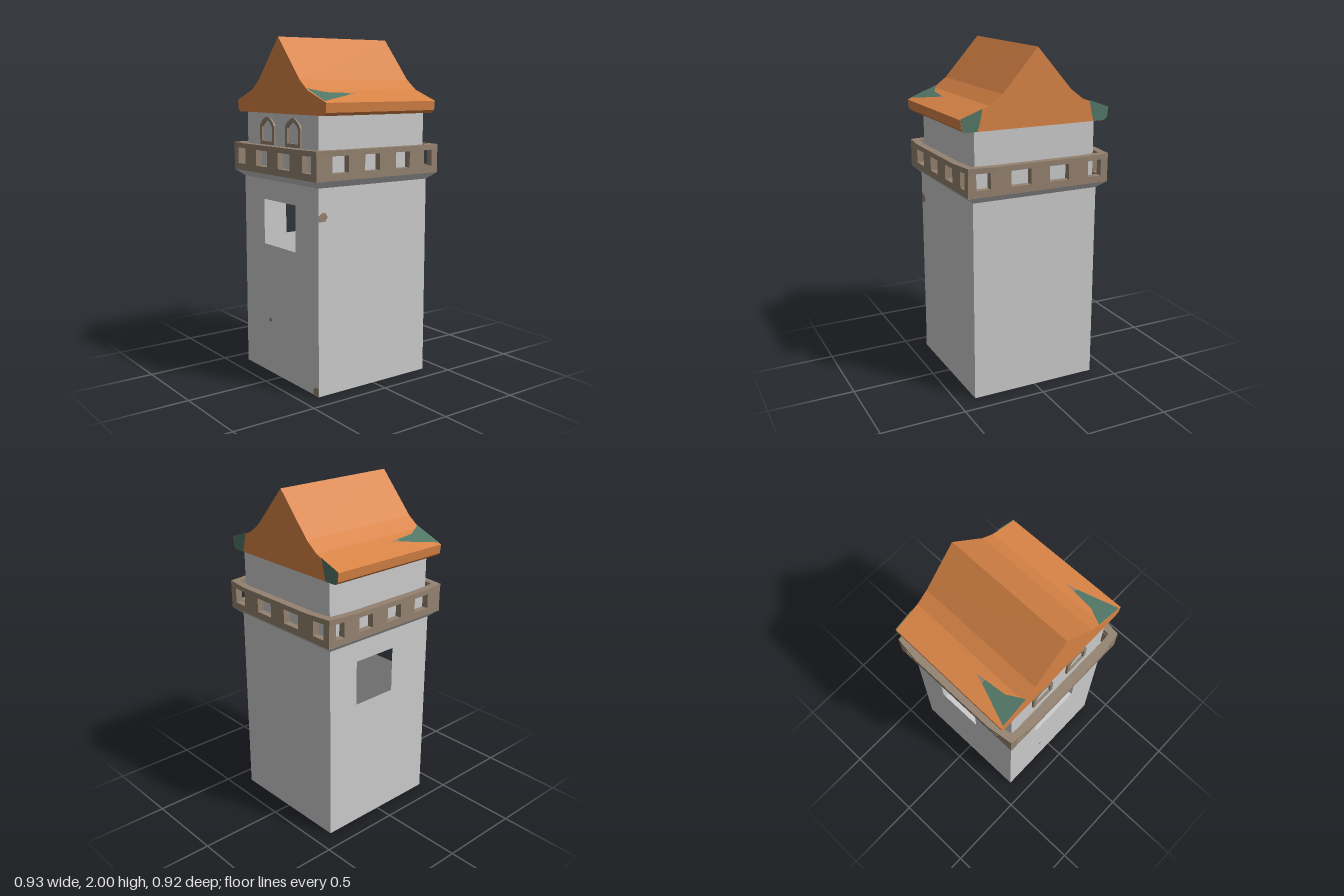
import * as THREE from 'three';

const paint = (name, color, side = THREE.FrontSide) => {
  const m = new THREE.MeshStandardMaterial({ color, side });
  m.name = name;
  return m;
};

export function createModel() {
  const tower = new THREE.Group();
  tower.name = 'watchtower';
  const plaster = paint('pale grey plaster', 0xcccccc, THREE.DoubleSide);
  const stone = paint('brown stone', 0x948270, THREE.DoubleSide);
  const tile = paint('orange roof', 0xd98446);
  const patina = paint('green patina', 0x527767, THREE.DoubleSide);

  const add = (name, geo, mat, parent = tower) => {
    const mesh = new THREE.Mesh(geo, mat);
    mesh.name = name;
    parent.add(mesh);
    return mesh;
  };
  const poly = (pts) => new THREE.Shape(pts.map(([x, y]) => new THREE.Vector2(x, y)));
  const rect = (x0, x1, y0, y1) => poly([[x0, y0], [x1, y0], [x1, y1], [x0, y1]]);
  const extrude = (shape, depth, z = 0) =>
    new THREE.ExtrudeGeometry(shape, { depth, bevelEnabled: false, curveSegments: 8 }).translate(0, 0, z);
  const flat = (shape, z = 0) => new THREE.ShapeGeometry(shape, 8).translate(0, 0, z);

  // Hollow shaft of thin walls: openings in the front and the -x wall
  const H = 0.39, shaftTop = 1.18;
  const openings = [[-0.17, 0.165], null, null, [-0.19, 0.095]];
  ['front', 'left', 'back', 'right'].forEach((side, i) => {
    const wall = rect(-H, H, 0, shaftTop);
    if (openings[i]) wall.holes.push(rect(...openings[i], 0.79, 1.06));
    add(side + 'ShaftWall', flat(wall, H), plaster).rotation.y = i * Math.PI / 2;
  });
  add('shaftFloor', new THREE.PlaneGeometry(2 * H, 2 * H).rotateX(Math.PI / 2), plaster);

  // Flared corbel carrying the gallery
  const corbel = new THREE.CylinderGeometry(0.437 * Math.SQRT2, H * Math.SQRT2, 0.04, 4)
    .toNonIndexed().rotateY(Math.PI / 4);
  corbel.computeVertexNormals();
  add('corbel', corbel, plaster).position.y = 1.2;

  // Parapet walls pierced by square openings
  const frontGaps = [[-0.39, -0.305], [-0.18, -0.058], [0.058, 0.18], [0.305, 0.39]];
  const sideGaps = [[-0.33, -0.22], [-0.106, 0], [0.116, 0.22], [0.33, 0.39]];
  const mirrored = sideGaps.map(([a, b]) => [-b, -a]);
  [frontGaps, sideGaps, frontGaps, mirrored].forEach((gaps, i) => {
    const wall = rect(-0.435, 0.435, 1.22, 1.357);
    gaps.forEach(([a, b]) => wall.holes.push(rect(a, b, 1.26, 1.355)));
    add('parapetWall', extrude(wall, 0.04, 0.397), stone).rotation.y = i * Math.PI / 2;
  });

  // Gently bowed handrail ring
  const ring = (corner, bow, mid) => {
    const pts = [];
    for (let i = 0; i < 4; i++) {
      const c = Math.round(Math.cos(i * Math.PI / 2)), s = Math.round(Math.sin(i * Math.PI / 2));
      for (const [x, y] of [[bow, -mid], [bow, mid], [corner, corner]])
        pts.push([x * c - y * s, x * s + y * c]);
    }
    return poly(pts);
  };
  const rail = ring(0.437, 0.458, 0.28);
  rail.holes.push(ring(0.398, 0.412, 0.27));
  add('parapetRail', extrude(rail, 0.03).rotateX(-Math.PI / 2), stone).position.y = 1.356;

  // Upper room
  add('upperRoom', new THREE.BoxGeometry(0.745, 0.36, 0.752).translate(0, 1.395, 0), plaster);

  // Arched window surrounds
  const arch = (w, y0, shoulder, top) => {
    const s = new THREE.Shape();
    s.moveTo(-w, y0);
    s.lineTo(w, y0);
    s.lineTo(w, shoulder);
    s.quadraticCurveTo(w * 0.85, shoulder + (top - shoulder) * 0.55, w * 0.2, top);
    s.lineTo(-w * 0.2, top);
    s.quadraticCurveTo(-w * 0.85, shoulder + (top - shoulder) * 0.55, -w, shoulder);
    s.closePath();
    return s;
  };
  for (const x of [-0.134, 0.137]) {
    const frame = arch(0.077, 1.385, 1.495, 1.546);
    frame.holes.push(arch(0.055, 1.405, 1.488, 1.525));
    add('windowFrame', extrude(frame, 0.02, 0.368), stone).position.x = x;
  }

  // Swept gable roof, slightly wider at the front
  const half = [[0, 2], [0.213, 1.76], [0.29, 1.703], [0.365, 1.675], [0.461, 1.64], [0.455, 1.587], [0.435, 1.57]];
  const outline = [...half, ...half.slice(1).reverse().map(([x, y]) => [-x, y])].reverse();
  const roof = extrude(poly(outline), 0.78, -0.39);
  const rp = roof.attributes.position;
  for (let i = 0; i < rp.count; i++) rp.setX(i, rp.getX(i) * (1 + 0.025 * rp.getZ(i)));
  roof.computeVertexNormals();
  add('roof', roof, tile);

  // Weathered patches lying on the front ends of the slopes
  const slopeY = (x) => {
    const i = half.findIndex(([hx]) => hx >= x);
    const [x0, y0] = half[i - 1], [x1, y1] = half[i];
    return y0 + (y1 - y0) * (x - x0) / (x1 - x0);
  };
  const onSlope = (pts) => {
    const g = new THREE.ShapeGeometry(poly(pts.map(([x, z]) => [x, -z]))).rotateX(-Math.PI / 2);
    const p = g.attributes.position;
    for (let i = 0; i < p.count; i++) p.setY(i, slopeY(p.getX(i)) + 0.005);
    g.computeVertexNormals();
    return g;
  };
  for (const s of [1, -1]) {
    add('slopePatch', onSlope([[0.45, 0.389], [0.365, 0.16], [0.342, 0.16], [0.33, 0.29], [0.28, 0.389]]), patina).scale.x = s;
    add('slopePatchTip', onSlope([[0.365, 0.16], [0.348, 0.1], [0.342, 0.16]]), stone).scale.x = s;
    // Green corners on the back gable
    const corner = poly([[0.33, 1.692], [0.457, 1.645], [0.45, 1.587], [0.43, 1.571], [0.36, 1.571], [0.345, 1.62]]);
    add('backCornerPatch', flat(corner, -0.393), patina).scale.x = s;
  }

  // Bare stone spots on the shaft
  add('lowCornerSpot', flat(poly([[0.39, 0], [0.39, 0.05], [0.36, 0.05], [0.338, 0.03], [0.343, 0]]), 0.393), stone);
  add('smallSpot', new THREE.CircleGeometry(0.014, 7).translate(-0.11, 0.33, 0.393), stone);
  const sideSpot = poly([[-0.39, 0.995], [-0.345, 0.995], [-0.33, 1.02], [-0.345, 1.045], [-0.365, 1.045], [-0.39, 1.03]]);
  add('sideSpot', flat(sideSpot, 0.393), stone).rotation.y = Math.PI / 2;

  return tower;
}
